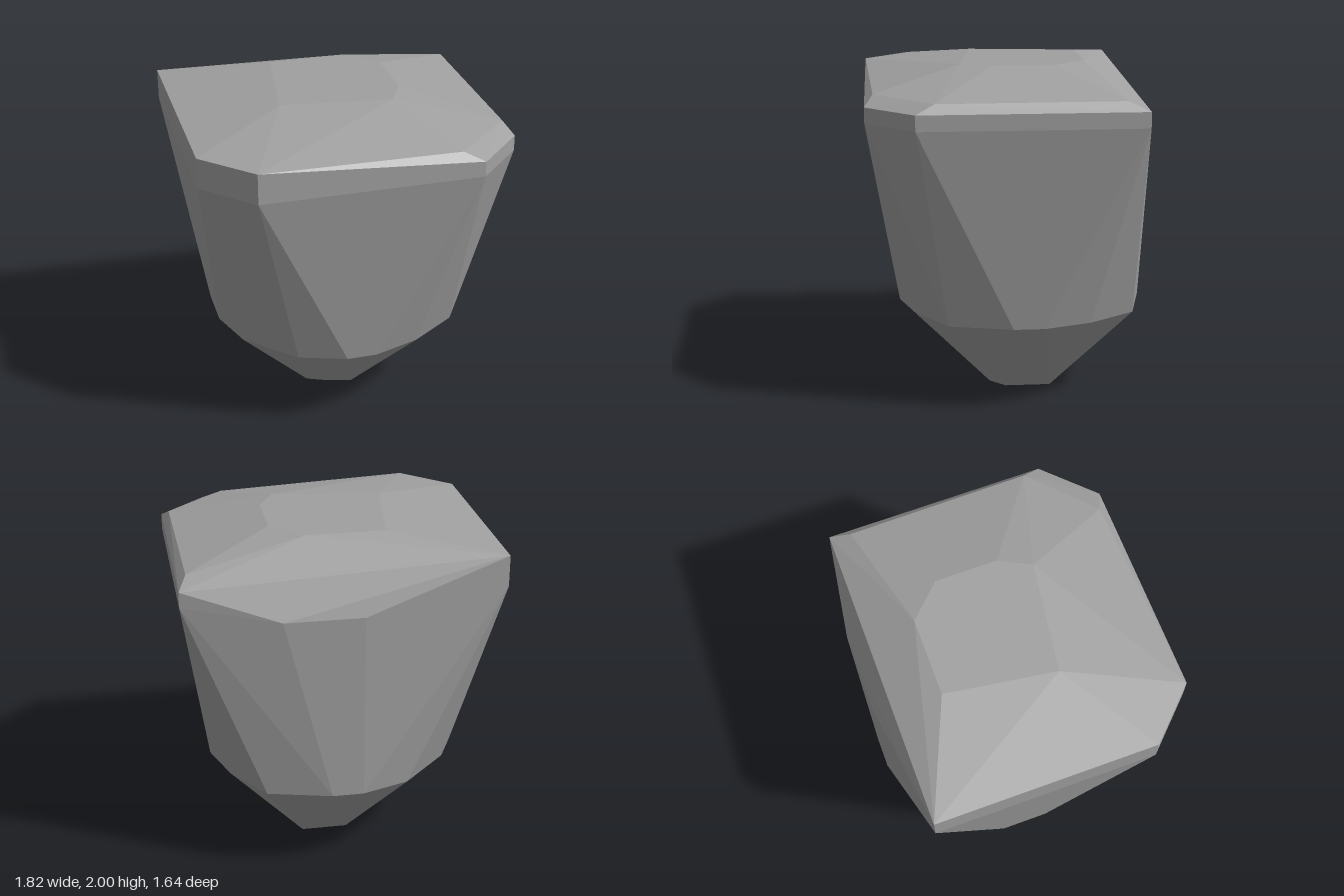
import * as THREE from 'three';
import { ConvexGeometry } from 'three/addons/geometries/ConvexGeometry.js';

// Horizontal outline: [x, z] corners at one height
const level = (y, corners) => corners.map(([x, z]) => new THREE.Vector3(x, y, z));

export function createModel() {
  const stone = new THREE.MeshStandardMaterial({ color: 0xa0a0a0, flatShading: true });
  stone.name = 'stone grey';

  const points = [
    // small foot, with one chipped corner
    ...level(0, [[0.18, -0.27], [0.18, 0], [0.09, 0.09], [-0.18, 0], [-0.18, -0.18], [-0.09, -0.27]]),
    ...level(0.09, [[-0.09, 0.18]]),
    // rounded waist
    ...level(0.545, [
      [-0.09, 0.636], [0.09, 0.636], [0.364, 0.545], [0.636, 0.364],
      [0.727, 0], [0.727, -0.18], [0.636, -0.455], [0.455, -0.727],
      [0.09, -0.818], [-0.09, -0.818], [-0.364, -0.727], [-0.636, -0.455],
      [-0.727, -0.27], [-0.727, 0], [-0.636, 0.27], [-0.364, 0.545],
    ]),
    // back bulge
    ...level(1.64, [[-0.09, -0.818], [0.364, -0.818]]),
    // shoulder below the rim
    ...level(1.73, [
      [-0.636, 0.818], [0.636, 0.818], [0.909, 0.545],
      [0.909, -0.727], [-0.909, -0.727], [-0.909, 0.545],
    ]),
    // rim, lower on the left side
    ...level(1.82, [[0.636, 0.818], [0.909, 0.545], [0.909, -0.727]]),
    ...level(1.91, [[-0.636, 0.818], [-0.909, 0.545], [-0.909, -0.727]]),
    // bevel inside the low rim
    ...level(1.873, [[0.52, 0.77], [0.87, 0.44], [0.86, -0.61]]),
    // flat crown
    ...level(2, [
      [-0.27, -0.455], [0.18, -0.455], [0.364, -0.27],
      [0.364, 0.09], [0.27, 0.27], [-0.364, 0.18],
    ]),
  ];

  const rock = new THREE.Mesh(new ConvexGeometry(points), stone);
  rock.name = 'rock';

  const model = new THREE.Group();
  model.name = 'boulder';
  model.add(rock);
  return model;
}
